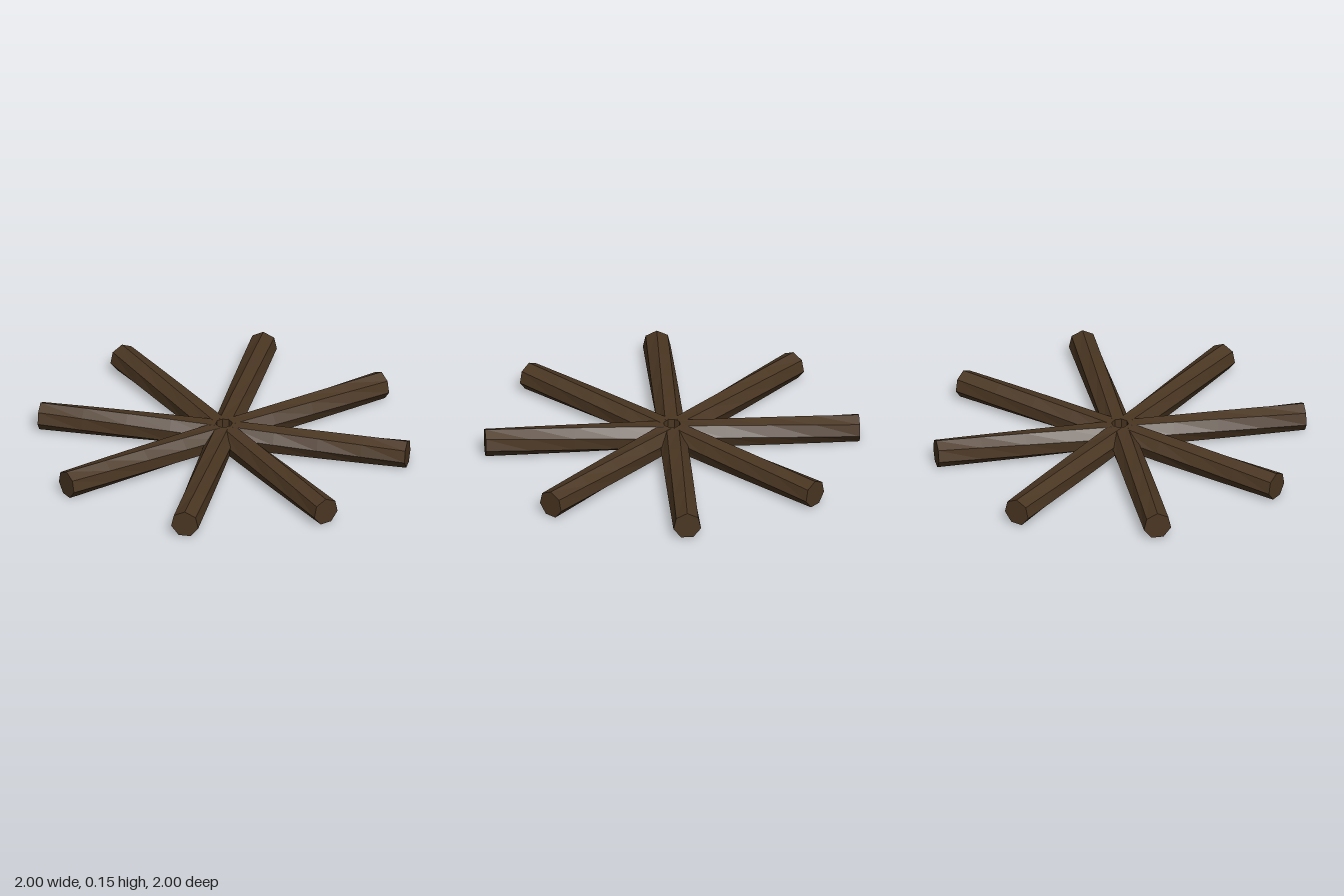
import * as THREE from 'three';

const LOGS = 8, SIDES = 7, RADIUS = 0.0757, INNER = 0.042, OUTER = 1;

// Seven-sided log along +z, ridge up at the outer end, turning half a side toward the hub
function logGeometry() {
  const length = OUTER - INNER;
  const geo = new THREE.CylinderGeometry(RADIUS, RADIUS, length, SIDES, 4, false, Math.PI);
  geo.rotateX(Math.PI / 2);
  geo.translate(0, 0, INNER + length / 2);
  const p = geo.attributes.position;
  for (let i = 0; i < p.count; i++) {
    const x = p.getX(i), y = p.getY(i), z = p.getZ(i);
    const a = ((OUTER - z) / length) * Math.PI / SIDES;
    p.setXY(i, x * Math.cos(a) + y * Math.sin(a), y * Math.cos(a) - x * Math.sin(a));
  }
  // Unshared corners give flat facets
  const flat = geo.toNonIndexed();
  flat.computeVertexNormals();
  return flat;
}

export function createModel() {
  const group = new THREE.Group();
  group.name = 'logStar';
  const wood = new THREE.MeshStandardMaterial({ color: 0x4a3622 });
  wood.name = 'darkWood';
  const geo = logGeometry();

  // Logs radiating from the open hub
  for (let i = 0; i < LOGS; i++) {
    const log = new THREE.Mesh(geo, wood);
    log.name = `log${i + 1}`;
    log.position.y = RADIUS;
    log.rotation.y = (i / LOGS) * Math.PI * 2;
    group.add(log);
  }
  return group;
}
